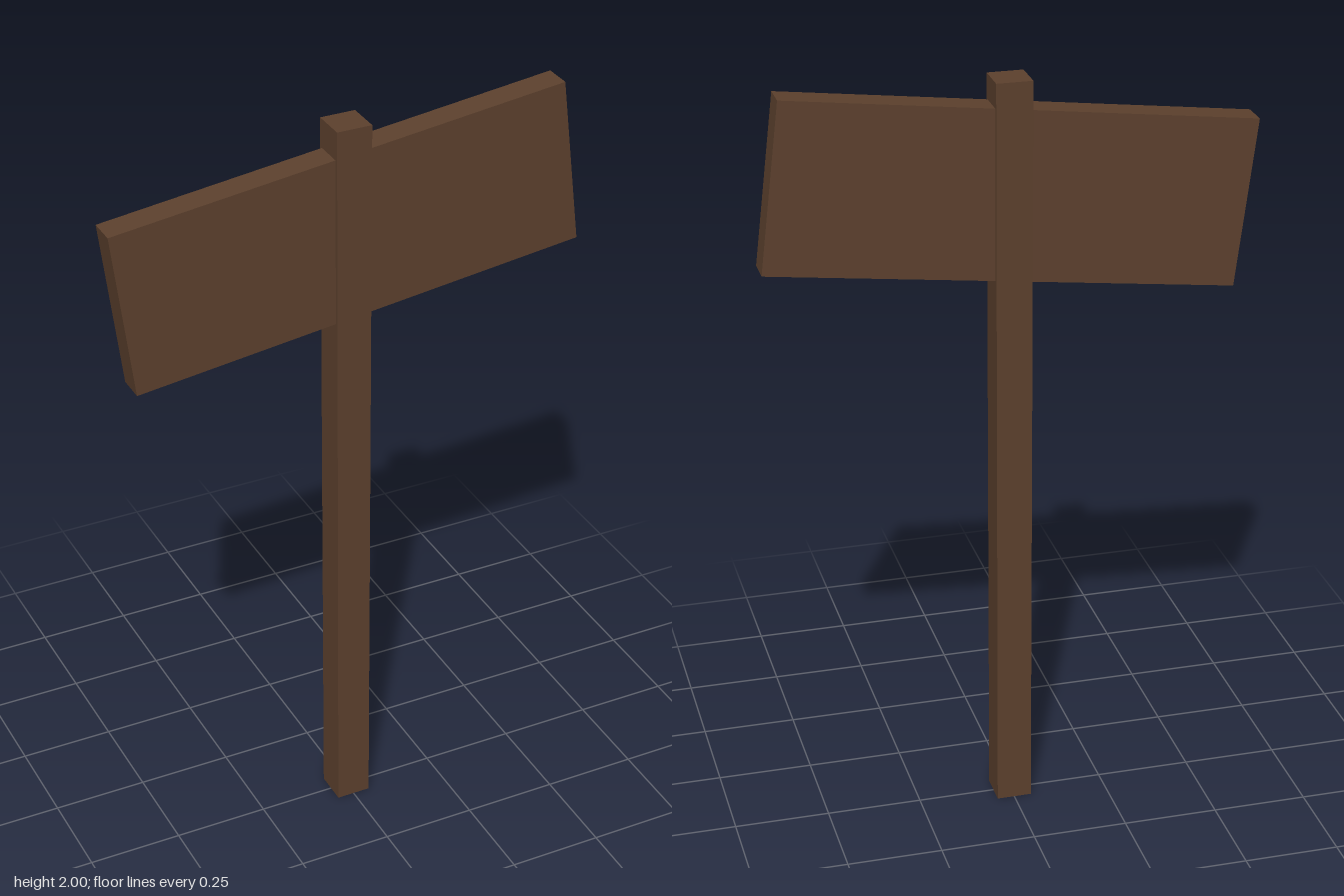
import * as THREE from 'three';

export function createModel() {
  const model = new THREE.Group();
  model.name = 'signpost';

  const wood = new THREE.MeshStandardMaterial({ color: 0x5c402d });
  wood.name = 'dark brown wood';

  const addBeam = (name, width, height, depth, y, tilt = 0) => {
    const mesh = new THREE.Mesh(new THREE.BoxGeometry(width, height, depth), wood);
    mesh.name = name;
    mesh.position.y = y;
    mesh.rotation.z = tilt;
    model.add(mesh);
  };

  // Square upright post
  addBeam('post', 0.092, 2, 0.092, 1);

  // Tilted board running through the post, thinner than it
  addBeam('signBoard', 1.209, 0.44, 0.074, 1.708, THREE.MathUtils.degToRad(7));

  return model;
}
